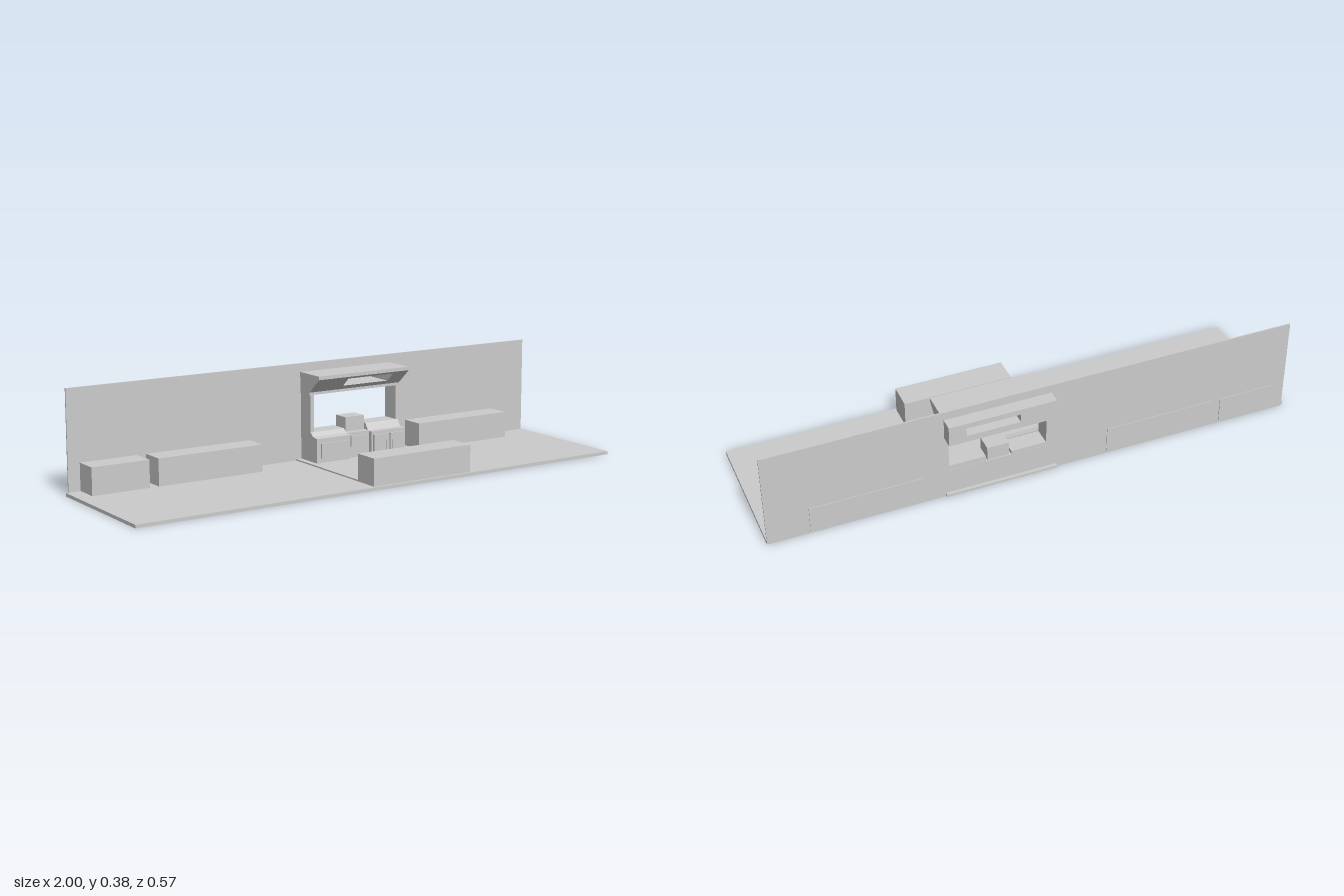
import * as THREE from 'three';

const material = new THREE.MeshStandardMaterial({ color: 0xcccccc, flatShading: true });

// Box given by its limits on each axis
function block(parent, name, [x0, x1], [y0, y1], [z0, z1]) {
  const mesh = new THREE.Mesh(new THREE.BoxGeometry(x1 - x0, y1 - y0, z1 - z0), material);
  mesh.position.set((x0 + x1) / 2, (y0 + y1) / 2, (z0 + z1) / 2);
  mesh.name = name;
  parent.add(mesh);
  return mesh;
}

// Side profile of [z, y] points, extruded along x
function profile(parent, name, [x0, x1], points) {
  const shape = new THREE.Shape(points.map(([z, y]) => new THREE.Vector2(-z, y)));
  const geometry = new THREE.ExtrudeGeometry(shape, { depth: x1 - x0, bevelEnabled: false });
  geometry.rotateY(Math.PI / 2);
  geometry.translate(x0, 0, 0);
  const mesh = new THREE.Mesh(geometry, material);
  mesh.name = name;
  parent.add(mesh);
  return mesh;
}

function rectangle(Type, x0, x1, y0, y1) {
  return new Type([[x0, y0], [x1, y0], [x1, y1], [x0, y1]].map(([x, y]) => new THREE.Vector2(x, y)));
}

export function createModel() {
  const model = new THREE.Group();
  model.name = 'servingStand';

  // Ground slab and raised floor of the serving bay
  block(model, 'floor', [-1, 1], [0, 0.012], [-0.23, 0.287]);
  block(model, 'bayFloor', [-0.07, 0.35], [0.008, 0.017], [-0.25, 0.23]);

  // Back wall with the window and the vent slot
  const wallShape = rectangle(THREE.Shape, -0.99, 1, 0.002, 0.375);
  wallShape.holes.push(
    rectangle(THREE.Path, -0.032, 0.335, 0.113, 0.27),
    rectangle(THREE.Path, 0.085, 0.285, 0.29, 0.322),
  );
  const wallGeometry = new THREE.ExtrudeGeometry(wallShape, { depth: 0.005, bevelEnabled: false });
  wallGeometry.translate(0, 0, -0.237);
  const wall = new THREE.Mesh(wallGeometry, material);
  wall.name = 'backWall';
  model.add(wall);

  // Long low counters
  for (const span of [[-0.945, -0.725], [-0.69, -0.27], [0.425, 0.845]]) {
    block(model, 'wallCounter', span, [0.012, 0.112], [-0.2395, -0.14]);
  }
  block(model, 'frontCounter', [-0.07, 0.35], [0.012, 0.112], [0.177, 0.277]);

  // Hood: solid ends, with a slot left open between the middle pieces
  const hood = new THREE.Group();
  hood.name = 'hood';
  model.add(hood);
  const slope = (y) => -0.168 + (y - 0.275) * (0.063 / 0.055);
  const full = [[-0.285, 0.265], [-0.168, 0.265], [-0.168, 0.275], [-0.105, 0.33], [-0.105, 0.343], [-0.285, 0.343]];
  profile(hood, 'hoodEnd', [-0.05, 0.085], full);
  profile(hood, 'hoodEnd', [0.285, 0.35], full);
  profile(hood, 'hoodBottom', [0.085, 0.285],
    [[-0.285, 0.265], [-0.168, 0.265], [-0.168, 0.275], [slope(0.29), 0.29], [-0.285, 0.29]]);
  profile(hood, 'hoodTop', [0.085, 0.285],
    [[-0.285, 0.322], [slope(0.322), 0.322], [-0.105, 0.33], [-0.105, 0.343], [-0.285, 0.343]]);

  // Window posts carrying the hood
  for (const span of [[-0.047, -0.032], [0.335, 0.35]]) {
    block(model, 'windowPost', span, [0.012, 0.266], [-0.236, -0.168]);
  }

  // Kitchen units under the window
  const kitchen = new THREE.Group();
  kitchen.name = 'kitchen';
  model.add(kitchen);

  // Left unit with a sloped top and a front panel
  profile(kitchen, 'leftUnit', [-0.047, 0.1],
    [[-0.236, 0.017], [-0.125, 0.017], [-0.125, 0.108], [-0.15, 0.112], [-0.168, 0.126], [-0.236, 0.126]]);
  block(kitchen, 'leftPanel', [-0.03, 0.083], [0.035, 0.09], [-0.125, -0.118]);

  // Middle unit with a small appliance on top
  block(kitchen, 'middleUnit', [0.1, 0.195], [0.017, 0.112], [-0.236, -0.14]);
  block(kitchen, 'applianceBox', [0.107, 0.19], [0.112, 0.166], [-0.232, -0.168]);
  block(kitchen, 'middleDrawer', [0.112, 0.183], [0.06, 0.1], [-0.14, -0.134]);

  // Right unit with two doors and a raised worktop
  block(kitchen, 'rightUnit', [0.195, 0.35], [0.017, 0.109], [-0.236, -0.125]);
  profile(kitchen, 'rightWorktop', [0.197, 0.345],
    [[-0.236, 0.109], [-0.15, 0.109], [-0.168, 0.135], [-0.236, 0.135]]);
  for (const [x0, x1, handle] of [[0.203, 0.268, 0.256], [0.277, 0.342, 0.284]]) {
    block(kitchen, 'door', [x0, x1], [0.021, 0.097], [-0.125, -0.116]);
    block(kitchen, 'doorHandle', [handle, handle + 0.005], [0.032, 0.073], [-0.116, -0.113]);
  }
  return model;
}
